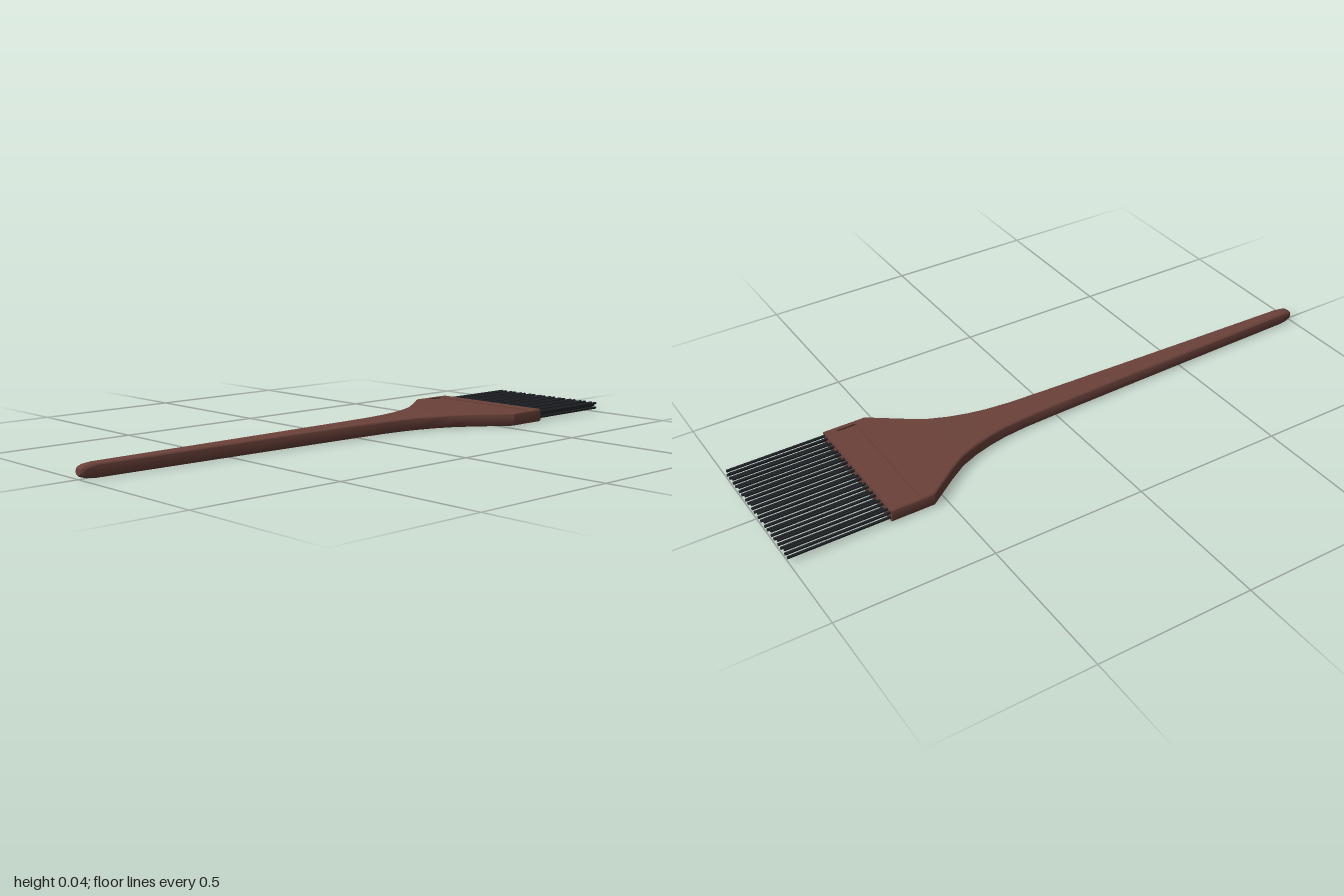
import * as THREE from 'three';
import { toCreasedNormals } from 'three/addons/utils/BufferGeometryUtils.js';

const HEIGHT = 0.043;

// Rounded cross-section in the z-y plane; "dip" lowers the middle of the top face
function crossSection(x, halfWidth, height, radius, dip) {
  const points = [];
  const steps = 4;
  const mid = HEIGHT / 2;
  const arc = (cz, cy, start) => {
    for (let i = 0; i <= steps; i++) {
      const a = start + (i / steps) * Math.PI / 2;
      points.push([x, mid + cy + Math.sin(a) * radius, cz + Math.cos(a) * radius]);
    }
  };
  const w = halfWidth - radius, h = height / 2 - radius;
  const slot = w * 0.95, top = mid + height / 2;
  arc(w, h, 0);
  points.push([x, top, slot], [x, top - dip, slot], [x, top - dip, -slot], [x, top, -slot]);
  arc(-w, h, Math.PI / 2);
  arc(-w, -h, Math.PI);
  arc(w, -h, Math.PI * 1.5);
  return points;
}

// Skin a row of cross-sections and close both ends
function loft(sections) {
  const pos = [];
  const tri = (a, b, c) => pos.push(...a, ...b, ...c);
  const n = sections[0].length;
  for (let s = 0; s < sections.length - 1; s++) {
    for (let i = 0; i < n; i++) {
      const j = (i + 1) % n;
      const a = sections[s][i], b = sections[s][j];
      const c = sections[s + 1][j], d = sections[s + 1][i];
      tri(a, c, b);
      tri(a, d, c);
    }
  }
  const first = sections[0], last = sections[sections.length - 1];
  const c0 = [first[0][0], HEIGHT / 2, 0], c1 = [last[0][0], HEIGHT / 2, 0];
  for (let i = 0; i < n; i++) {
    const j = (i + 1) % n;
    tri(c0, first[i], first[j]);
    tri(c1, last[j], last[i]);
  }
  const geometry = new THREE.BufferGeometry();
  geometry.setAttribute('position', new THREE.Float32BufferAttribute(pos, 3));
  return toCreasedNormals(geometry, 0.6);
}

export function createModel() {
  const group = new THREE.Group();
  const brown = new THREE.MeshStandardMaterial({ color: 0x6b423a });
  brown.name = 'brown plastic';
  const black = new THREE.MeshStandardMaterial({ color: 0x22252a });
  black.name = 'black bristle';

  // Handle flaring into the head: x, half width, height, corner radius, slot depth
  const stations = [
    [-1, 0.012, 0.02, 0.009, 0],
    [-0.994, 0.017, 0.03, 0.011, 0],
    [-0.98, 0.02, 0.038, 0.012, 0],
    [-0.95, 0.0225, HEIGHT, 0.012, 0],
    [-0.6, 0.031, HEIGHT, 0.012, 0],
    [-0.3, 0.039, HEIGHT, 0.012, 0],
    [0, 0.048, HEIGHT, 0.012, 0],
    [0.12, 0.053, HEIGHT, 0.012, 0],
    [0.2, 0.061, HEIGHT, 0.011, 0],
    [0.26, 0.073, HEIGHT, 0.011, 0],
    [0.32, 0.09, HEIGHT, 0.01, 0],
    [0.38, 0.115, HEIGHT, 0.01, 0],
    [0.44, 0.154, HEIGHT, 0.009, 0],
    [0.54, 0.227, HEIGHT, 0.009, 0],
    [0.58, 0.227, HEIGHT, 0.009, 0],
    [0.58, 0.227, HEIGHT, 0.009, 0.005],
    [0.642, 0.227, HEIGHT, 0.009, 0.005],
    [0.642, 0.227, HEIGHT, 0.009, 0],
    [0.68, 0.227, HEIGHT, 0.009, 0],
  ];
  const handle = new THREE.Mesh(loft(stations.map((s) => crossSection(...s))), brown);
  handle.name = 'handle';
  group.add(handle);

  // Ten tufts of five bristles each
  const bristleGeometry = new THREE.CylinderGeometry(0.0045, 0.0045, 0.34, 6);
  bristleGeometry.rotateZ(-Math.PI / 2);
  const offsets = [[0, 0], [-1, -1], [-1, 1], [1, -1], [1, 1]];
  for (let t = 0; t < 10; t++) {
    const tuft = new THREE.Group();
    tuft.name = 'bristleTuft';
    tuft.position.set(0.83, 0.022, -0.208 + t * 0.0462);
    for (const [dy, dz] of offsets) {
      const bristle = new THREE.Mesh(bristleGeometry, black);
      bristle.name = 'bristle';
      bristle.position.set(0, dy * 0.008, dz * 0.009);
      tuft.add(bristle);
    }
    group.add(tuft);
  }
  return group;
}
